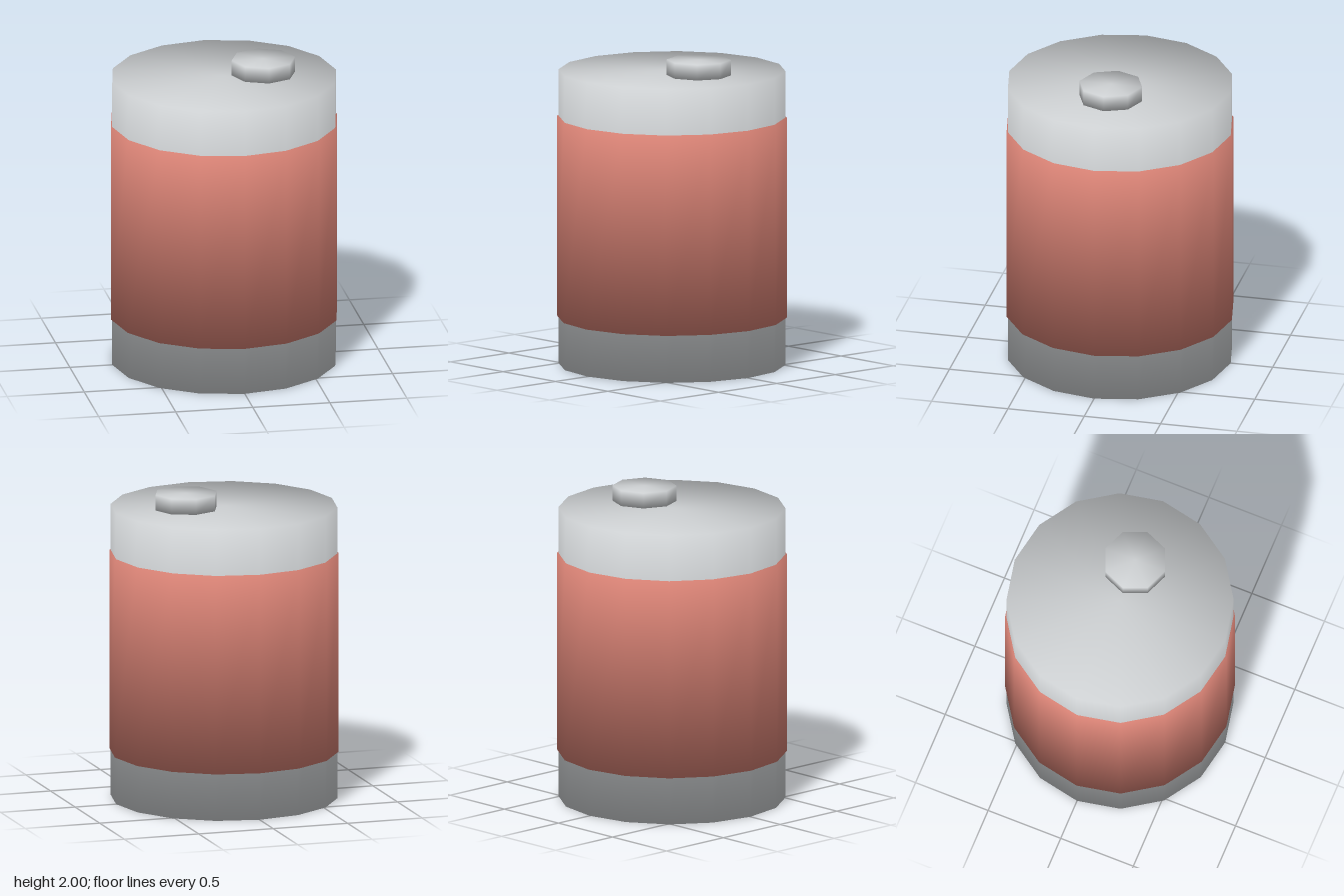
import * as THREE from 'three';

// Closed cylinder whose rim normals blend softly from side to cap
function softCylinder(radius, bottom, top, sides) {
  const geometry = new THREE.CylinderGeometry(radius, radius, top - bottom, sides);
  const pos = geometry.attributes.position;
  const normal = geometry.attributes.normal;
  const n = new THREE.Vector3();
  for (let i = 0; i < pos.count; i++) {
    n.set(pos.getX(i) / radius, Math.sign(pos.getY(i)), pos.getZ(i) / radius).normalize();
    normal.setXYZ(i, n.x, n.y, n.z);
  }
  geometry.translate(0, (top + bottom) / 2, 0);
  return geometry;
}

export function createModel() {
  const group = new THREE.Group();
  group.name = 'canister';

  const metal = new THREE.MeshStandardMaterial({ color: 0xcccfd1 });
  metal.name = 'pale grey metal';
  const red = new THREE.MeshStandardMaterial({ color: 0xd37f72 });
  red.name = 'soft red label';

  const add = (name, geometry, material) => {
    const mesh = new THREE.Mesh(geometry, material);
    mesh.name = name;
    group.add(mesh);
    return mesh;
  };

  // Main can and the slightly wider band around it
  add('body', softCylinder(0.725, 0, 1.9, 16), metal);
  add('labelBand', softCylinder(0.733, 0.305, 1.6, 16), red);

  // Off-centre cap on the lid
  add('cap', softCylinder(0.205, 1.9, 2, 8), metal).position.x = 0.255;

  return group;
}
